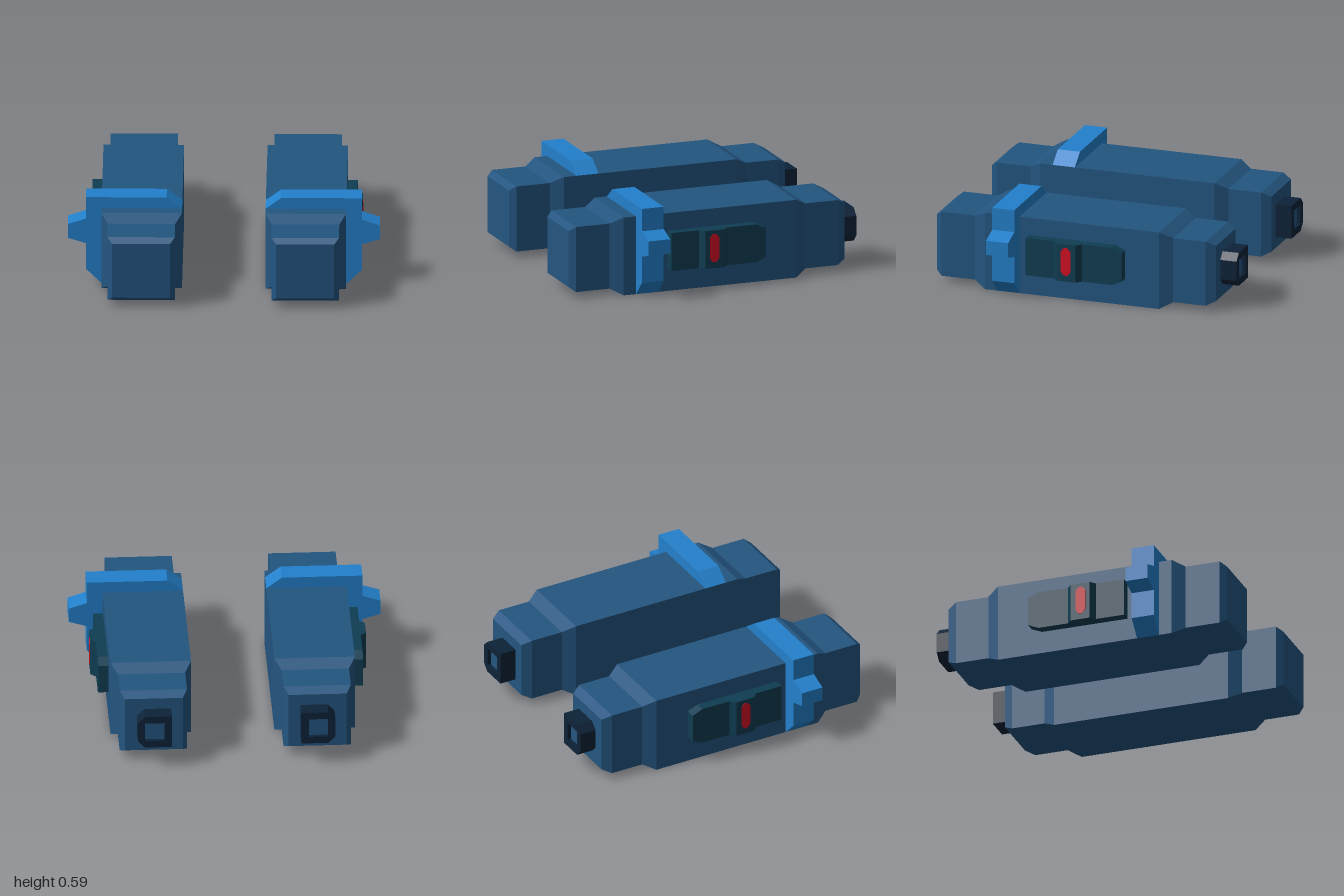
import * as THREE from 'three';

const paint = (name, color) => {
  const m = new THREE.MeshStandardMaterial({ color });
  m.name = name;
  return m;
};

const CX = 0.523, CY = 0.259; // centre line of each pod

// Prism from a 2D outline, starting at z = 0
function prism(points, depth, hole) {
  const shape = new THREE.Shape(points.map(([x, y]) => new THREE.Vector2(x, y)));
  if (hole) shape.holes.push(new THREE.Path(hole.map(([x, y]) => new THREE.Vector2(x, y))));
  return new THREE.ExtrudeGeometry(shape, { depth, bevelEnabled: false });
}

export function createModel() {
  const model = new THREE.Group();
  const navy = paint('navy blue', 0x235580);
  const bright = paint('bright blue', 0x2380cb);
  const teal = paint('dark teal', 0x0f3d52);
  const dark = paint('midnight', 0x0d2238);
  const red = paint('red', 0xd40f24);

  // Square casing swept along z: [z, half width]
  const sections = [[-0.89, 0], [-0.89, 0.185], [-0.83, 0.215], [-0.61, 0.215], [-0.53, 0.257],
    [0.65, 0.257], [0.73, 0.215], [0.96, 0.215], [1, 0.185], [1, 0]];

  for (const s of [1, -1]) {
    const pod = new THREE.Group();
    pod.name = s > 0 ? 'leftPod' : 'rightPod';
    model.add(pod);
    const add = (name, geometry, material) => {
      const mesh = new THREE.Mesh(geometry, material);
      mesh.name = name;
      pod.add(mesh);
    };
    const mirror = (pts) => pts.map(([x, y]) => [s * x, y]);

    // Casing
    let casing = new THREE.LatheGeometry(
      sections.map(([z, h]) => new THREE.Vector2(h * Math.SQRT2, z)), 4);
    casing.rotateY(Math.PI / 4).rotateX(Math.PI / 2).translate(s * CX, CY, 0);
    casing = casing.toNonIndexed();
    casing.computeVertexNormals();
    add('casing', casing, navy);

    // Bracket wrapping the top and outer side
    add('bracket', prism(mirror([[0.266, 0.516], [0.365, 0.59], [0.88, 0.59], [0.88, 0.443],
      [0.995, 0.405], [0.995, 0.31], [0.88, 0.275], [0.88, 0.1], [0.78, 0.002],
      [0.72, 0.06], [0.72, 0.46], [0.32, 0.46]]), 0.15).translate(0, 0, 0.415), bright);

    // Side panel, outlined in (-z, y)
    add('sidePanel', prism([[-0.35, 0.15], [0.23, 0.15], [0.3, 0.18], [0.3, 0.37], [0.23, 0.4],
      [-0.35, 0.4]], 0.085).rotateY(Math.PI / 2).translate(s * 0.8025 - 0.0425, 0, 0), teal);

    // Raised block on the panel, outlined in (x, -z)
    add('panelBlock', prism(mirror([[0.8, -0.16], [0.845, -0.16], [0.88, -0.13], [0.88, 0],
      [0.845, 0.03], [0.8, 0.03]]), 0.25).rotateX(-Math.PI / 2).translate(0, 0.15, 0), teal);

    // Red light on the block
    add('light', prism([[-0.1, 0.215], [-0.08, 0.19], [-0.055, 0.19], [-0.035, 0.215],
      [-0.035, 0.35], [-0.055, 0.375], [-0.08, 0.375], [-0.1, 0.35]], 0.008)
      .rotateY(Math.PI / 2).translate(s * 0.879 - 0.004, 0, 0), red);

    // Rear nozzle, chamfered on its outer corners, with a blue core
    add('nozzle', prism(mirror([[0.413, 0.15], [0.585, 0.15], [0.63, 0.195], [0.63, 0.325],
      [0.585, 0.37], [0.413, 0.37]]), 0.12,
    mirror([[0.46, 0.197], [0.46, 0.323], [0.584, 0.323], [0.584, 0.197]]))
      .translate(0, 0, -1), dark);
    add('nozzleCore', new THREE.BoxGeometry(0.124, 0.126, 0.09).translate(s * 0.522, 0.26, -0.93), navy);
  }
  return model;
}
